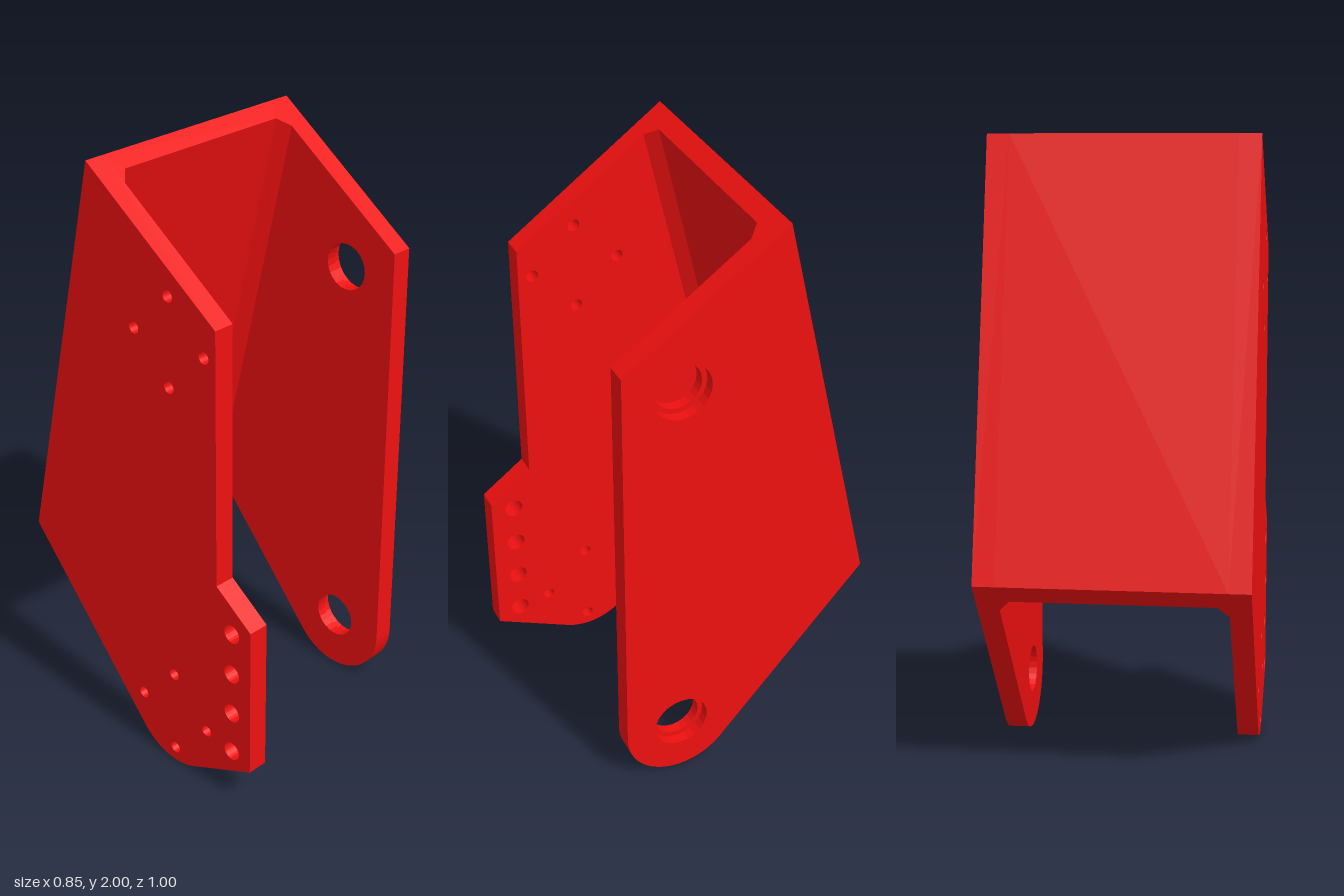
import * as THREE from 'three';

const HALF = 0.425, THICK = 0.07, INNER = HALF - THICK;
const PIVOT_Z = 0.16, PIVOT_Y = 0.195, PIVOT_R = 0.195;
const PIVOTS = [[PIVOT_Z, 0.198], [PIVOT_Z, 1.53]];
const DEG = Math.PI / 180;

const material = new THREE.MeshStandardMaterial({ color: 0xee1010 });

function circle(z, y, r) {
  return new THREE.Path().absarc(z, y, r, 0, Math.PI * 2, true);
}

// Side outline drawn in (z, y); the tab is the optional lower front extension
function sideShape(withTab) {
  const s = new THREE.Shape();
  s.moveTo(0.355, 1.63);
  s.lineTo(-0.175, 2);
  s.lineTo(-0.495, 0.64);
  s.absarc(PIVOT_Z, PIVOT_Y, PIVOT_R, 221.6 * DEG, (withTab ? 295.3 : 360) * DEG, false);
  if (withTab) {
    s.lineTo(0.5, 0.14);
    s.lineTo(0.5, 0.67);
    s.lineTo(0.355, 0.775);
  }
  s.closePath();
  return s;
}

// Extrude a (z, y) shape from xOuter towards -x
function slab(name, shape, x, depth) {
  const geo = new THREE.ExtrudeGeometry(shape, { depth, bevelEnabled: false, curveSegments: 12 });
  geo.rotateY(-Math.PI / 2);
  const mesh = new THREE.Mesh(geo, material);
  mesh.position.x = x;
  mesh.name = name;
  return mesh;
}

// Sloped back wall: a plan section with corner fillets, trimmed to the sloping ends
function backWall() {
  const wall = 0.063, flare = 0.105, cx = INNER - 0.035;
  const s = new THREE.Shape([
    [-INNER, 0], [INNER, 0], [INNER, flare], [cx, wall], [-cx, wall], [-INNER, flare],
  ].map(([x, d]) => new THREE.Vector2(x, d)));
  const geo = new THREE.ExtrudeGeometry(s, { depth: 1, bevelEnabled: false });
  const p = geo.attributes.position;
  for (let i = 0; i < p.count; i++) {
    const d = p.getY(i);
    // end 0 lies on the upper slope, end 1 on the lower slope
    if (p.getZ(i) < 0.5) p.setXYZ(i, p.getX(i), 2 - 0.6 * d, -0.175 + 0.859 * d);
    else p.setXYZ(i, p.getX(i), 0.64 - 0.891 * d, -0.495 + 0.79 * d);
  }
  geo.computeVertexNormals();
  const mesh = new THREE.Mesh(geo, material);
  mesh.name = 'backWall';
  return mesh;
}

export function createModel() {
  const model = new THREE.Group();
  model.name = 'bracket';

  // Left plate with stepped pivot holes
  const left = sideShape(false);
  PIVOTS.forEach(([z, y]) => left.holes.push(circle(z, y, 0.095)));
  model.add(slab('leftPlate', left, HALF, THICK));
  PIVOTS.forEach(([z, y], i) => {
    const ring = new THREE.Shape().absarc(z, y, 0.095, 0, Math.PI * 2, false);
    ring.holes.push(circle(z, y, 0.078));
    model.add(slab(i ? 'upperHoleStep' : 'lowerHoleStep', ring, HALF - THICK / 2, THICK / 2));
  });

  // Right plate with a drilled tab and two four-bolt patterns
  const right = sideShape(true);
  for (let i = 0; i < 4; i++) right.holes.push(circle(0.42, 0.18 + 0.15 * i, 0.032));
  PIVOTS.forEach(([z, y]) => {
    for (let k = 0; k < 4; k++) {
      const a = k * Math.PI / 2;
      right.holes.push(circle(z + 0.147 * Math.cos(a), y + 0.147 * Math.sin(a), 0.02));
    }
  });
  model.add(slab('rightPlate', right, -INNER, THICK));

  model.add(backWall());
  return model;
}
